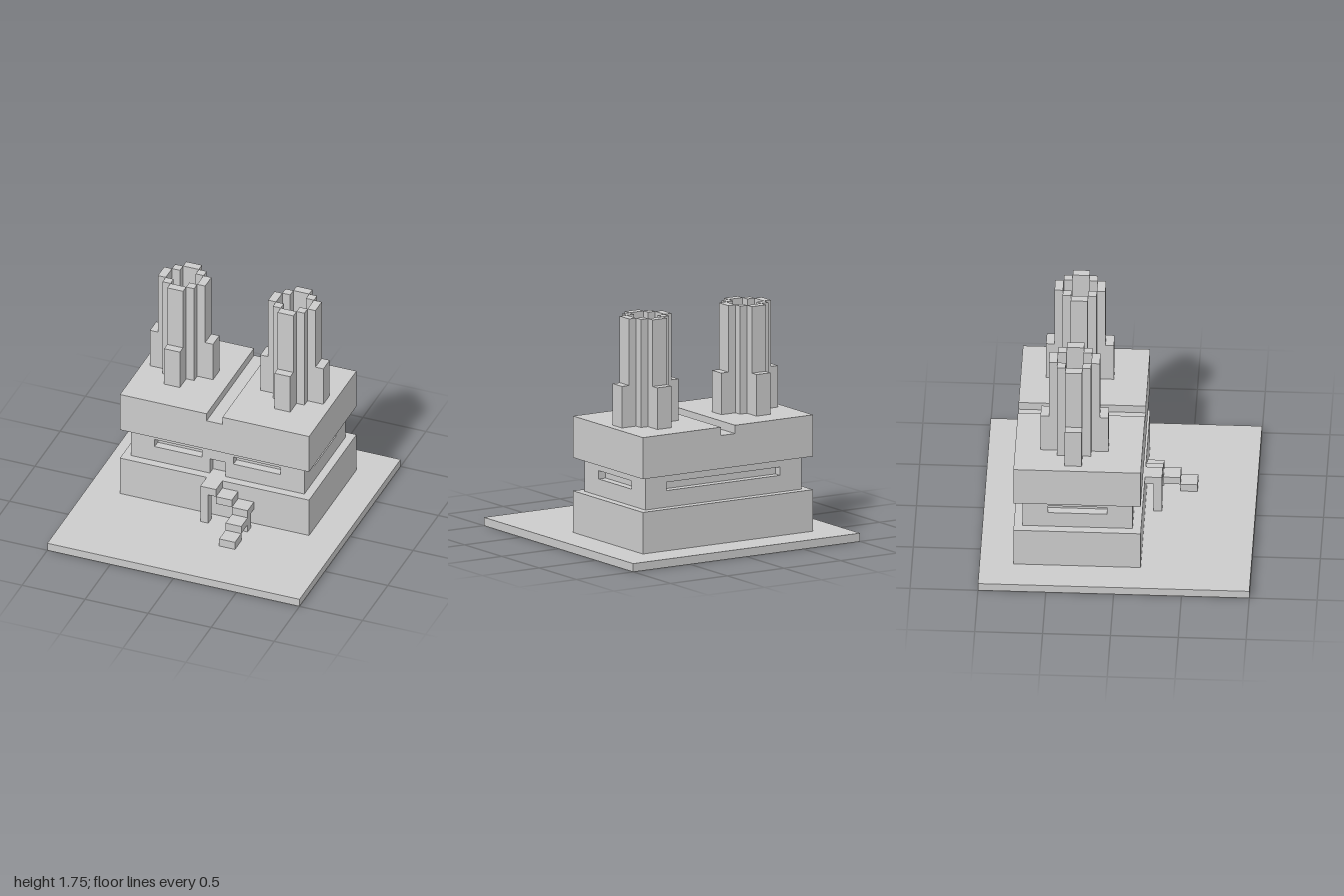
import * as THREE from 'three';

// All part sizes are whole blocks; one block is 1/16 unit.
const BLOCK = 1 / 16;
const material = new THREE.MeshStandardMaterial({ color: 0xcccccc, flatShading: true });

function box(parent, name, [x0, x1], [y0, y1], [z0, z1]) {
  const mesh = new THREE.Mesh(new THREE.BoxGeometry(x1 - x0, y1 - y0, z1 - z0), material);
  mesh.name = name;
  mesh.position.set((x0 + x1) / 2, (y0 + y1) / 2, (z0 + z1) / 2);
  parent.add(mesh);
  return mesh;
}

// One-block-thick wall with window slots and an optional doorway at its foot.
function wall(parent, name, halfWidth, windows, hasDoor, [x, z], angle) {
  const shape = new THREE.Shape();
  shape.moveTo(-halfWidth, 6);
  if (hasDoor) shape.lineTo(-1, 6).lineTo(-1, 8).lineTo(1, 8).lineTo(1, 6);
  shape.lineTo(halfWidth, 6).lineTo(halfWidth, 10).lineTo(-halfWidth, 10).closePath();
  for (const [a, b] of windows) {
    const slot = new THREE.Path();
    slot.moveTo(a, 8).lineTo(a, 9).lineTo(b, 9).lineTo(b, 8).closePath();
    shape.holes.push(slot);
  }
  const mesh = new THREE.Mesh(
    new THREE.ExtrudeGeometry(shape, { depth: 1, bevelEnabled: false }), material);
  mesh.name = name;
  mesh.position.set(x, 0, z);
  mesh.rotation.y = angle;
  parent.add(mesh);
}

// Hollow chimney: four walls, four corner piers and four low buttresses.
function chimney(parent, name, x) {
  const tower = new THREE.Group();
  tower.name = name;
  tower.position.set(x, 0, -5);
  for (let i = 0; i < 4; i++) {
    const side = new THREE.Group();
    side.name = 'chimneySide';
    side.rotation.y = i * Math.PI / 2;
    box(side, 'chimneyWall', [-1, 1], [15, 28], [2, 3]);
    box(side, 'cornerPier', [1, 2], [15, 28], [1, 2]);
    box(side, 'buttress', [-1, 1], [15, 20], [3, 4]);
    tower.add(side);
  }
  parent.add(tower);
}

export function createModel() {
  const model = new THREE.Group();
  model.name = 'building';
  model.scale.setScalar(BLOCK);

  box(model, 'groundSlab', [-16, 16], [0, 1], [-16, 16]);
  box(model, 'lowerStorey', [-12, 12], [1, 6], [-12, 3]);

  // Recessed middle storey with sunken windows and doorway
  const middle = new THREE.Group();
  middle.name = 'middleStorey';
  box(middle, 'core', [-10, 10], [6, 10], [-10, 1]);
  wall(middle, 'frontWall', 11, [[-8, -2], [2, 8]], true, [0, 1], 0);
  wall(middle, 'backWall', 11, [[-8, 8]], false, [0, -10], Math.PI);
  for (const s of [-1, 1]) {
    wall(middle, s > 0 ? 'leftWall' : 'rightWall', 5.5, [[-3.5, 3.5]], false,
      [s * 10, -4.5], s * Math.PI / 2);
  }
  model.add(middle);

  // Overhanging upper storey, split on top by a channel
  box(model, 'upperStorey', [-12, 12], [10, 14], [-12, 3]);
  box(model, 'leftRoof', [1, 12], [14, 15], [-12, 3]);
  box(model, 'rightRoof', [-12, -1], [14, 15], [-12, 3]);

  chimney(model, 'leftChimney', 7);
  chimney(model, 'rightChimney', -7);

  // Turning stair up to the door
  const stair = new THREE.Group();
  stair.name = 'stair';
  box(stair, 'landing', [-1, 1], [5, 6], [3, 5]);
  box(stair, 'landingPost', [-1, 0], [1, 5], [4, 5]);
  box(stair, 'step', [1, 3], [4, 5], [3, 5]);
  box(stair, 'turnStep', [3, 5], [3, 4], [3, 5]);
  box(stair, 'turnPost', [4, 5], [1, 3], [4, 5]);
  box(stair, 'step', [3, 5], [2, 3], [5, 7]);
  box(stair, 'step', [3, 5], [1, 2], [7, 9]);
  model.add(stair);

  const root = new THREE.Group();
  root.name = 'model';
  root.add(model);
  return root;
}
